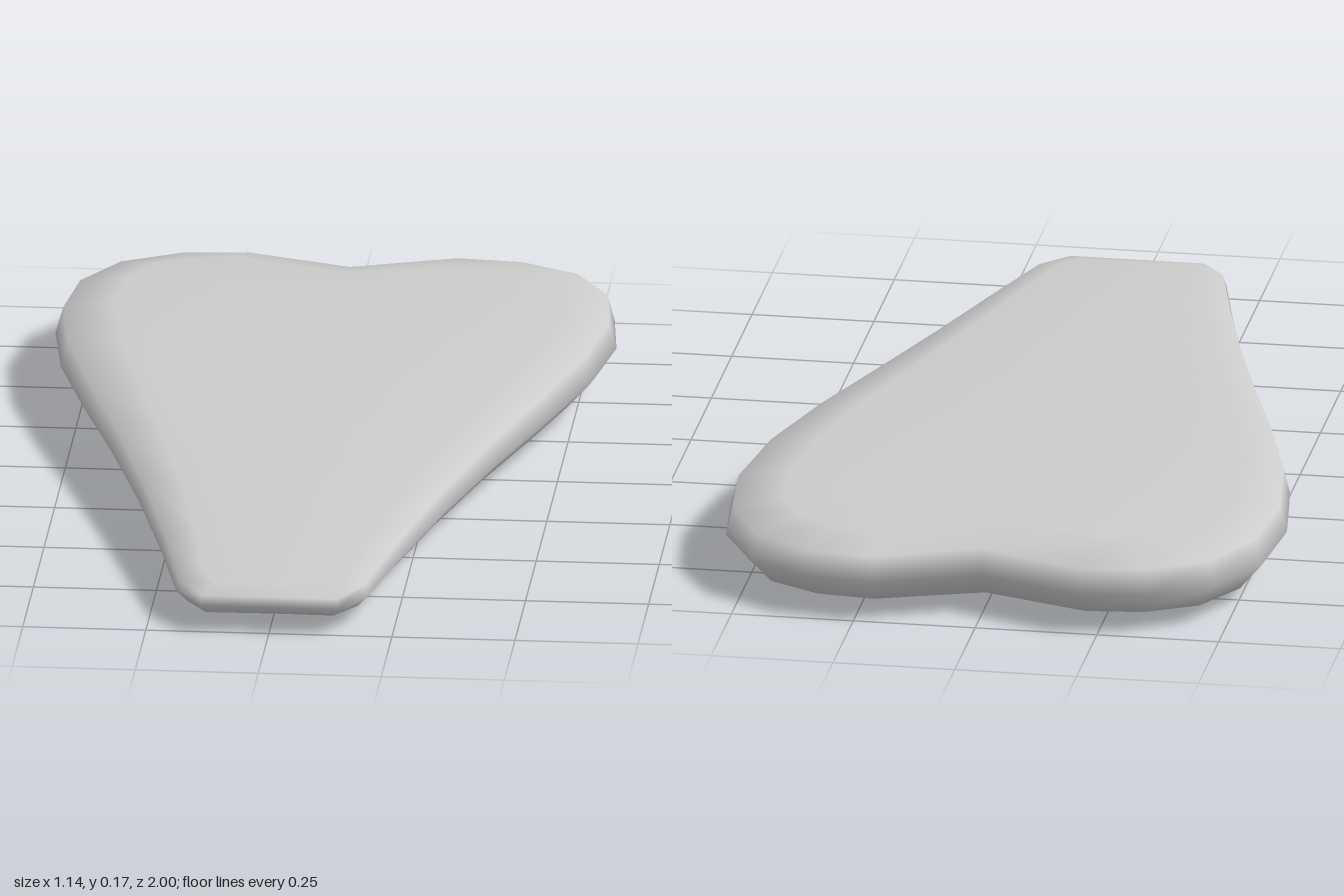
import * as THREE from 'three';
import { mergeVertices } from 'three/addons/utils/BufferGeometryUtils.js';

// Half outline [x, z] from the front tip round to the rear notch
const HALF = [[0, 1], [0.14, 1], [0.195, 0.92], [0.245, 0.7], [0.315, 0.42], [0.395, 0.14],
  [0.475, -0.12], [0.54, -0.36], [0.57, -0.58], [0.55, -0.77], [0.475, -0.91],
  [0.35, -0.985], [0.21, -1], [0, -0.92]];
// Height of the upper and lower faces along z
const TOP = [[1, 0.084], [0.96, 0.088], [0.75, 0.112], [0.4, 0.136], [0, 0.157], [-0.3, 0.167], [-0.6, 0.167], [-0.82, 0.162], [-1, 0.155]];
const BOTTOM = [[1, 0.028], [0.88, 0.023], [0.65, 0.018], [0, 0.022], [-0.3, 0.015], [-0.76, 0.001], [-1, 0.01]];
// Edge rings from bottom to top: [inset, height fraction]
const RINGS = [[0.19, 0], [0.05, 0.17], [0, 0.53], [0.015, 0.87], [0.12, 1]];

function heightAt(table, z) {
  for (let i = 1; i < table.length; i++) {
    const [z0, y0] = table[i - 1], [z1, y1] = table[i];
    if (z >= z1) return y0 + (y1 - y0) * Math.max(0, (z - z0) / (z1 - z0));
  }
  return table[table.length - 1][1];
}

export function createModel() {
  const n = HALF.length;
  const outline = [...HALF, ...HALF.slice(1, -1).reverse().map(([x, z]) => [-x, z])];
  const count = outline.length;
  const positions = [], index = [];
  const add = (x, y, z) => positions.push(x, y, z) / 3 - 1;

  // Rounded edge: each ring is the outline moved inwards along its normals
  const rings = RINGS.map(([inset, t]) => outline.map(([x, z], i) => {
    const [px, pz] = outline[(i + count - 1) % count], [qx, qz] = outline[(i + 1) % count];
    const a = new THREE.Vector2(qx - x, qz - z).normalize();
    const b = new THREE.Vector2(x - px, z - pz).normalize();
    const inward = a.add(b).normalize();
    const d = inset * THREE.MathUtils.mapLinear(Math.max(z, -0.4), -0.4, 1, 1, 0.45);
    const nx = x + inward.y * d, nz = z - inward.x * d;
    const low = heightAt(BOTTOM, nz), high = heightAt(TOP, nz);
    return add(nx, low + (high - low) * t, nz);
  }));
  for (let k = 0; k < rings.length - 1; k++) {
    for (let i = 0; i < count; i++) {
      const j = (i + 1) % count, a = rings[k], b = rings[k + 1];
      index.push(a[i], a[j], b[j], a[i], b[j], b[i]);
    }
  }

  // Broad faces: strips from a centre line out to the ring on both sides
  const cap = (ring, table, up) => {
    const notch = positions[ring[n - 1] * 3 + 2];
    const centre = HALF.map((_, i) => {
      const z = Math.max(positions[ring[i] * 3 + 2], notch);
      return add(0, heightAt(table, z), z);
    });
    for (let i = 0; i < n - 1; i++) {
      for (const side of [1, -1]) {
        const o = side > 0 ? ring[i] : ring[(count - i) % count];
        const p = side > 0 ? ring[i + 1] : ring[count - i - 1];
        const c = centre[i], d = centre[i + 1];
        if ((side > 0) === up) index.push(c, o, p, c, p, d);
        else index.push(c, p, o, c, d, p);
      }
    }
  };
  cap(rings[rings.length - 1], TOP, true);
  cap(rings[0], BOTTOM, false);

  let geometry = new THREE.BufferGeometry();
  geometry.setAttribute('position', new THREE.Float32BufferAttribute(positions, 3));
  geometry.setIndex(index);
  geometry = mergeVertices(geometry, 1e-4);
  geometry.computeVertexNormals();

  const body = new THREE.Mesh(geometry, new THREE.MeshStandardMaterial({ color: 0xcccccc }));
  body.name = 'taperedPad';
  const group = new THREE.Group();
  group.name = 'notchedPad';
  group.add(body);
  return group;
}
